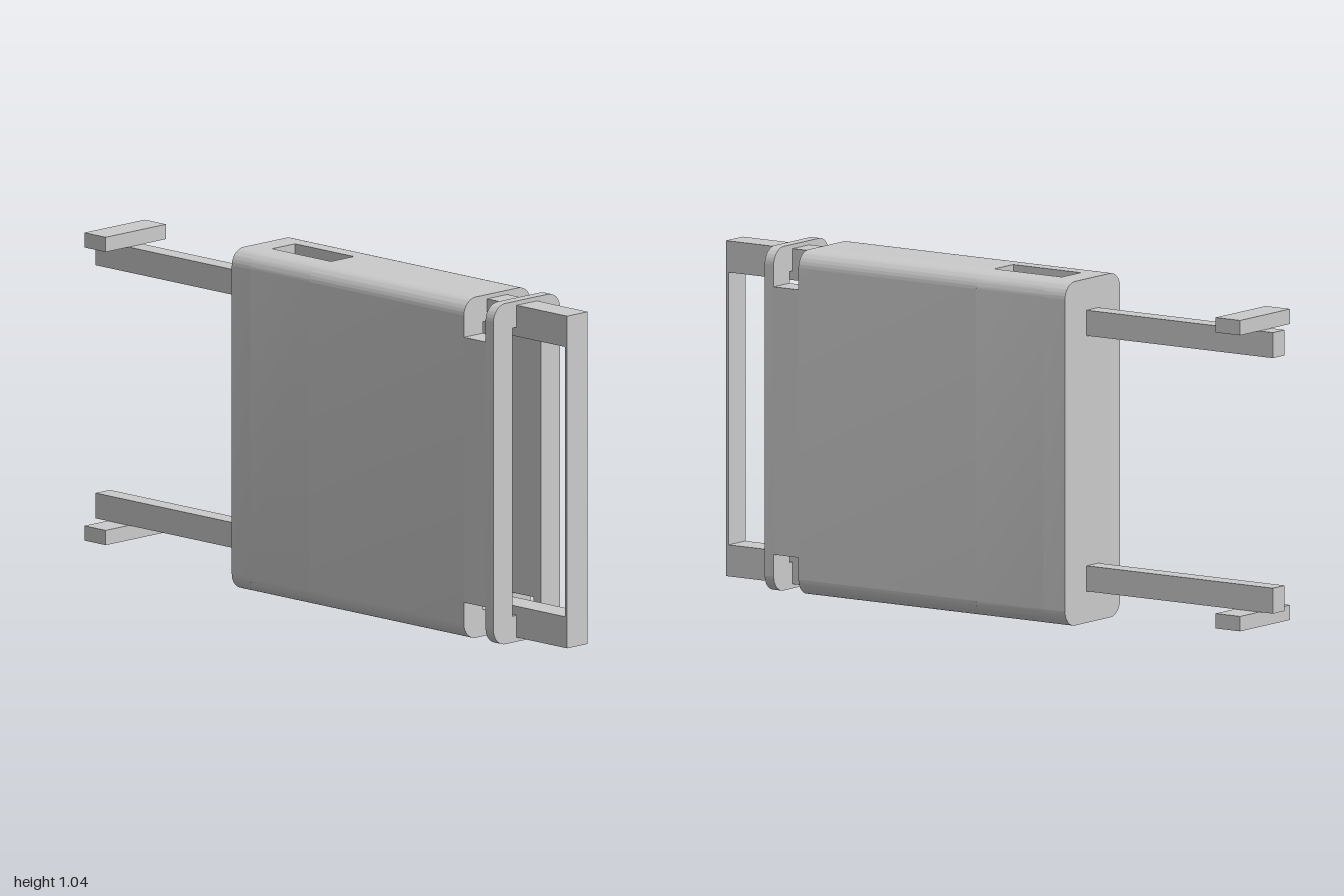
import * as THREE from 'three';
import { toCreasedNormals } from 'three/addons/utils/BufferGeometryUtils.js';

const H = 1.038;      // body height
const HALF = 0.14;    // body half thickness
const R = 0.05;       // corner radius of the body section
const CAVITY = { z: 0.06, low: 0.08, high: 0.958 };

const material = new THREE.MeshStandardMaterial({ color: 0xcccccc });

// Rounded outline of the body section, optionally with the inner cavity.
function outline(hollow) {
  const s = new THREE.Shape();
  s.moveTo(-HALF + R, 0);
  s.lineTo(HALF - R, 0);
  s.absarc(HALF - R, R, R, -Math.PI / 2, 0, false);
  s.lineTo(HALF, H - R);
  s.absarc(HALF - R, H - R, R, 0, Math.PI / 2, false);
  s.lineTo(-HALF + R, H);
  s.absarc(-HALF + R, H - R, R, Math.PI / 2, Math.PI, false);
  s.lineTo(-HALF, R);
  s.absarc(-HALF + R, R, R, Math.PI, Math.PI * 1.5, false);
  if (hollow) s.holes.push(rectangle(-CAVITY.z, CAVITY.z, CAVITY.low, CAVITY.high));
  return s;
}

function rectangle(z0, z1, y0, y1) {
  return new THREE.Shape([[z0, y0], [z1, y0], [z1, y1], [z0, y1]].map(p => new THREE.Vector2(...p)));
}

// One side of the body where the window cuts through top and bottom.
function windowSide(sign) {
  const w = 0.048;
  const s = new THREE.Shape();
  s.moveTo(sign * w, 0);
  s.lineTo(sign * (HALF - R), 0);
  const arc = (cy, from) => {
    for (let i = 1; i <= 12; i++) {
      const a = from + (i / 12) * Math.PI / 2;
      s.lineTo(sign * (HALF - R + R * Math.cos(a)), cy + R * Math.sin(a));
    }
  };
  arc(R, -Math.PI / 2);
  s.lineTo(sign * HALF, H - R);
  arc(H - R, 0);
  s.lineTo(sign * w, H);
  s.lineTo(sign * w, CAVITY.high);
  s.lineTo(sign * CAVITY.z, CAVITY.high);
  s.lineTo(sign * CAVITY.z, CAVITY.low);
  s.lineTo(sign * w, CAVITY.low);
  return s;
}

// Extrude a (z, y) section along x.
function section(name, shape, x0, x1) {
  const g = new THREE.ExtrudeGeometry(shape, { depth: x1 - x0, bevelEnabled: false, curveSegments: 12 });
  g.rotateY(Math.PI / 2);
  g.translate(x0, 0, 0);
  const m = new THREE.Mesh(toCreasedNormals(g, 0.6), material);
  m.name = name;
  return m;
}

// Box from its limits, symmetric in z.
function block(name, x0, x1, y0, y1, halfZ) {
  const m = new THREE.Mesh(new THREE.BoxGeometry(x1 - x0, y1 - y0, halfZ * 2), material);
  m.position.set((x0 + x1) / 2, (y0 + y1) / 2, 0);
  m.name = name;
  return m;
}

export function createModel() {
  const model = new THREE.Group();
  model.name = 'slidingHolder';

  // Hollow casing, built in slices along x
  const body = new THREE.Group();
  body.name = 'casing';
  body.add(section('rearWall', outline(false), -0.316, -0.238));
  body.add(section('mainShell', outline(true), 0.01, 0.662));
  body.add(section('endFlange', outline(true), 0.754, 0.787));
  for (const sign of [1, -1]) {
    body.add(section('windowSide', windowSide(sign), -0.238, 0.01));
    const z = [sign * CAVITY.z, sign * HALF].sort((a, b) => a - b);
    body.add(section('notchWall', rectangle(z[0], z[1], 0.115, H - 0.115), 0.662, 0.754));
  }
  model.add(body);

  // Sliding arms and handle arms, mirrored top and bottom
  for (const top of [true, false]) {
    const side = top ? 'upper' : 'lower';
    const part = (name, x0, x1, y0, y1, halfZ) =>
      model.add(block(side + name, x0, x1, top ? y0 : H - y1, top ? y1 : H - y0, halfZ));
    part('Arm', -1, 0.01, 0.866, 0.943, 0.03);
    part('CrossBar', -0.95, -0.86, 0.943, 0.988, 0.127);
    part('Latch', -0.036, 0.01, 0.943, 0.988, 0.046);
    part('HandleArm', 0.655, 1, 0.93, 1.025, 0.043);
  }

  // Thin grip joining the handle arms
  model.add(block('handleGrip', 0.99, 1, 0.108, 0.93, 0.043));
  return model;
}
